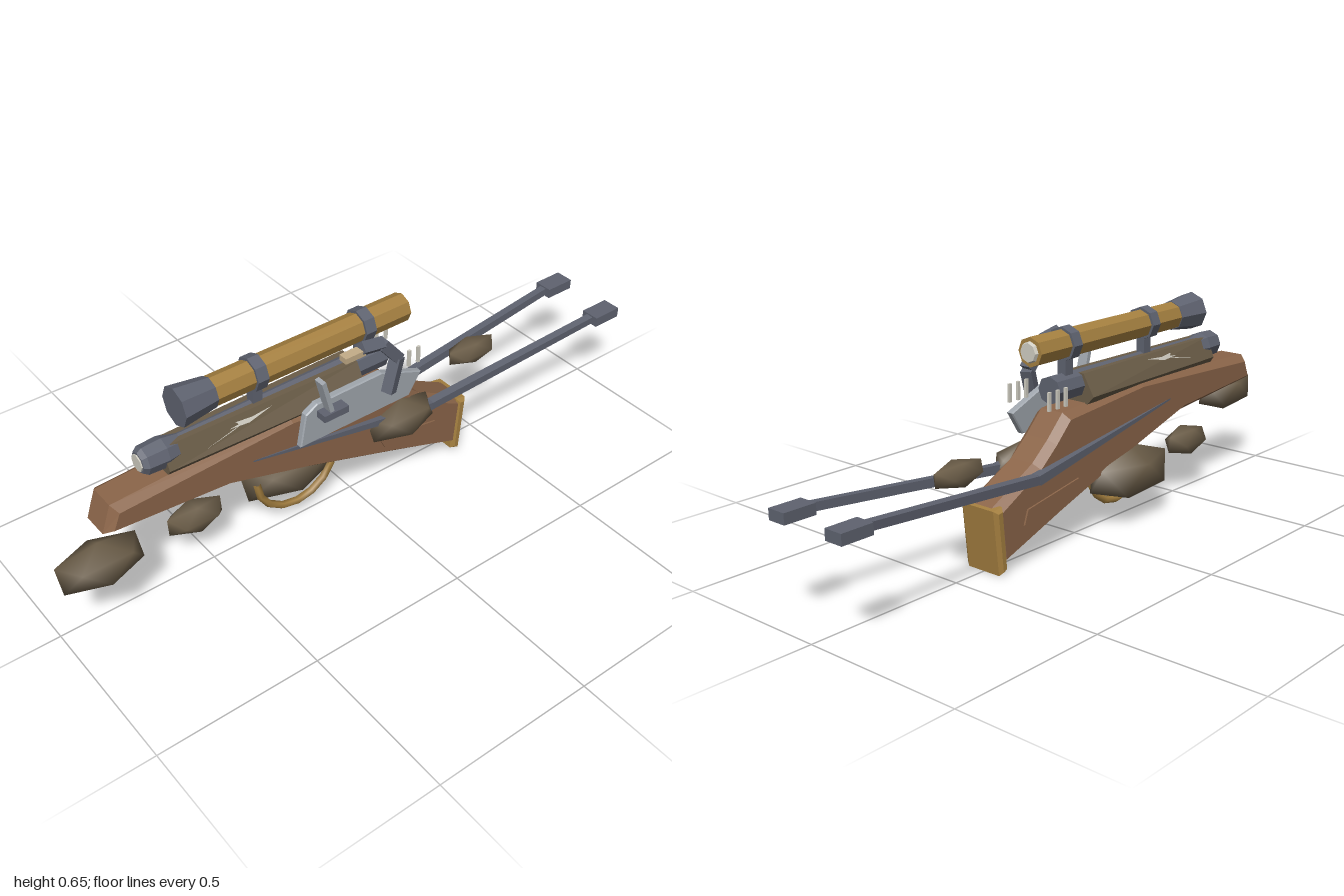
import * as THREE from 'three';
import { mergeVertices } from 'three/addons/utils/BufferGeometryUtils.js';

const mat = (name, color, extra = {}) => {
  const m = new THREE.MeshStandardMaterial({ color, ...extra });
  m.name = name;
  return m;
};

export function createModel() {
  const wood = mat('wood', 0x8b6549);
  const stone = mat('stone', 0x6b5d48);
  const brass = mat('brass', 0xa58040);
  const steel = mat('steel', 0x5f6370);
  const plateGrey = mat('plateGrey', 0xa0a6ad);
  const silver = mat('silver', 0xd0cdc2, { side: THREE.DoubleSide });
  const flintTan = mat('flintTan', 0xc4ad88);

  const root = new THREE.Group();
  root.name = 'rifle';
  const add = (name, geo, material, x = 0, y = 0, z = 0) => {
    const m = new THREE.Mesh(geo, material);
    m.name = name;
    m.position.set(x, y, z);
    root.add(m);
    return m;
  };
  const box = (name, material, w, h, d, x, y, z) =>
    add(name, new THREE.BoxGeometry(w, h, d), material, x, y, z);

  // Side profile of [z, y] points, extruded across x with chamfered edges
  const slab = (pts, width, bevel = 0) => {
    const shape = new THREE.Shape(pts.map(p => new THREE.Vector2(...p)));
    const depth = width - 2 * bevel;
    const g = new THREE.ExtrudeGeometry(shape, {
      depth, steps: 1, bevelEnabled: bevel > 0, bevelSegments: 1,
      bevelThickness: bevel, bevelSize: bevel * 0.8, bevelOffset: -bevel * 0.8,
    });
    return g.translate(0, 0, -depth / 2).rotateY(-Math.PI / 2);
  };

  // Faceted cylinder along z, from z0 (radius r0) to z1 (radius r1)
  const barrelPart = (name, material, y, z0, r0, z1, r1, sides = 8) => {
    const g = new THREE.CylinderGeometry(r1, r0, z1 - z0, sides)
      .rotateX(Math.PI / 2).toNonIndexed();
    g.computeVertexNormals();
    return add(name, g, material, 0, y, (z0 + z1) / 2);
  };

  // Four-sided bar between two points
  const bar = (name, material, a, b, ra, rb, turn = 0) => {
    const p = new THREE.Vector3(...a), q = new THREE.Vector3(...b);
    const g = new THREE.CylinderGeometry(rb, ra, p.distanceTo(q), 4).rotateY(turn).toNonIndexed();
    g.computeVertexNormals();
    const m = add(name, g, material);
    m.position.copy(p).add(q).multiplyScalar(0.5);
    m.quaternion.setFromUnitVectors(new THREE.Vector3(0, 1, 0), q.sub(p).normalize());
    return m;
  };

  // Wooden stock and brass butt plate
  add('stock', slab([
    [0.85, 0.325], [0.82, 0.41], [0.25, 0.435], [-0.1, 0.405], [-0.165, 0.34],
    [-0.23, 0.285], [-0.4, 0.195], [-0.38, 0.02], [-0.13, 0.105],
    [-0.06, 0.128], [0.19, 0.21], [0.47, 0.292],
  ], 0.13, 0.025), wood);
  add('buttPlate', slab([
    [-0.375, 0.2], [-0.41, 0.195], [-0.39, 0.0], [-0.36, 0.012],
  ], 0.14, 0.012), brass);

  // Tapered fore body under the barrel, with bright zigzag inlays on its flanks
  const taper = z => 1 - 0.3 * z / 0.64;
  const hull = new THREE.Shape([
    [-0.05, 0.41], [0.05, 0.41], [0.073, 0.435], [0.035, 0.5], [-0.035, 0.5], [-0.073, 0.435],
  ].map(p => new THREE.Vector2(...p)));
  const body = new THREE.ExtrudeGeometry(hull, { depth: 0.64, bevelEnabled: false });
  const bp = body.attributes.position;
  for (let i = 0; i < bp.count; i++) bp.setX(i, bp.getX(i) * taper(bp.getZ(i)));
  body.computeVertexNormals();
  add('foreBody', body, stone);
  for (const s of [-1, 1]) {
    const zigzag = new THREE.Shape([
      [0.53, 0.452], [0.44, 0.468], [0.445, 0.476], [0.38, 0.472], [0.3, 0.488],
      [0.37, 0.483], [0.42, 0.487], [0.41, 0.476],
    ].map(p => new THREE.Vector2(...p)));
    const g = new THREE.ShapeGeometry(zigzag);
    const p = g.attributes.position;
    for (let i = 0; i < p.count; i++) {
      const z = p.getX(i), y = p.getY(i);
      const flank = 0.073 - (y - 0.435) * 0.585;
      p.setXYZ(i, s * (flank * taper(z) + 0.004), y, z);
    }
    g.computeVertexNormals();
    add('inlay', g, silver);
  }

  // Barrel, flared muzzle and pale bore
  barrelPart('barrel', steel, 0.465, -0.11, 0.042, 0.62, 0.038);
  barrelPart('muzzleFlare', steel, 0.467, 0.58, 0.036, 0.63, 0.045);
  barrelPart('muzzle', steel, 0.467, 0.63, 0.045, 0.69, 0.042);
  barrelPart('muzzleLip', steel, 0.467, 0.69, 0.042, 0.704, 0.032);
  barrelPart('bore', silver, 0.467, 0.69, 0.026, 0.708, 0.026);

  // Scope with bell, eyepiece, rings and mounts
  barrelPart('scopeTube', brass, 0.592, -0.19, 0.044, 0.48, 0.044);
  barrelPart('scopeBell', steel, 0.592, 0.47, 0.046, 0.58, 0.06);
  barrelPart('eyepiece', silver, 0.592, -0.2, 0.028, -0.18, 0.036);
  for (const z of [0.33, -0.04]) {
    barrelPart('scopeRing', steel, 0.592, z - 0.018, 0.052, z + 0.018, 0.052);
    box('scopeMount', steel, 0.03, 0.07, 0.032, 0, 0.525, z);
  }

  // Lock plate, pan, frizzen, hammer and flint on the left side
  add('lockPlate', slab([
    [0.24, 0.335], [0.22, 0.44], [0.18, 0.463], [-0.05, 0.465], [-0.2, 0.405], [-0.155, 0.335],
  ], 0.024, 0.004), plateGrey, 0.074);
  box('pan', steel, 0.045, 0.022, 0.085, 0.1, 0.43, 0.14);
  box('frizzen', plateGrey, 0.034, 0.115, 0.014, 0.1, 0.495, 0.165).rotation.x = 0.25;
  const arm = [[0.1, 0.597, 0.04], [0.098, 0.583, -0.035], [0.098, 0.51, -0.095], [0.105, 0.405, -0.06]];
  for (let i = 0; i < 3; i++) bar('hammer', steel, arm[i], arm[i + 1], 0.024, 0.024, i < 1 ? 0 : Math.PI / 4);
  box('flint', flintTan, 0.03, 0.018, 0.07, 0.098, 0.587, 0.066);

  for (const s of [-1, 1]) {
    // Pins beside the breech
    for (const z of [-0.125, -0.16, -0.195])
      box('pin', silver, 0.008, 0.055, 0.01, s * 0.075, 0.463, z);
    // Folded legs with square feet
    bar('legRoot', steel, [s * 0.062, 0.352, 0.41], [s * 0.075, 0.25, -0.25], 0.003, 0.021, Math.PI / 4);
    bar('leg', steel, [s * 0.075, 0.25, -0.24], [s * 0.107, 0.31, -0.92], 0.019, 0.017, Math.PI / 4);
    box('foot', steel, 0.06, 0.032, 0.1, s * 0.107, 0.309, -0.95);
    // Raised cheek panel
    add('cheekPanel', slab([
      [-0.06, 0.205], [-0.28, 0.168], [-0.295, 0.125], [-0.08, 0.165],
    ], 0.009), wood, s * 0.066);
  }

  // Brass trigger guard
  const guard = new THREE.TorusGeometry(0.14, 0.012, 5, 8, Math.PI)
    .rotateZ(Math.PI).rotateY(Math.PI / 2);
  add('triggerGuard', guard, brass, 0, 0.195, 0.2);

  // Smooth-shaded stones: centre, half extents, roll
  const stones = [
    [[0.064, 0.259, 0.88], [0.06, 0.06, 0.12], 0.55],
    [[-0.019, 0.172, 0.54], [0.044, 0.042, 0.088], 0.1],
    [[-0.048, 0.157, 0.2], [0.08, 0.074, 0.155], 0.55],
    [[0.066, 0.25, -0.14], [0.058, 0.057, 0.115], 0.55],
    [[0, 0.311, -0.48], [0.041, 0.034, 0.087], 0],
  ];
  for (const [c, r, roll] of stones) {
    let g = new THREE.IcosahedronGeometry(1 / 0.851, 0);
    g.deleteAttribute('normal');
    g.deleteAttribute('uv');
    g = mergeVertices(g, 1e-3).scale(...r);
    g.computeVertexNormals();
    add('stone', g, stone, ...c).rotation.z = roll;
  }
  return root;
}
